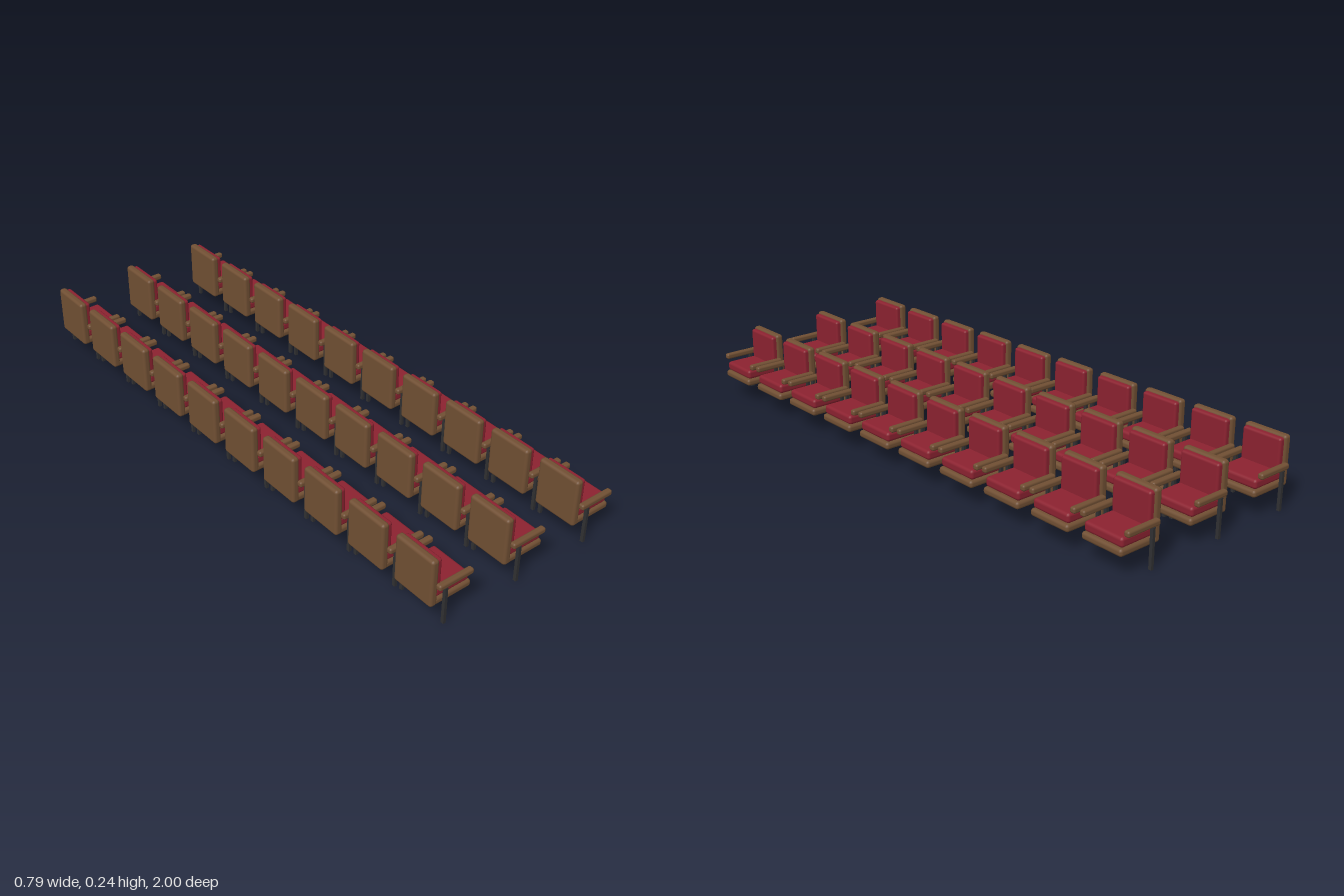
import * as THREE from 'three';
import { RoundedBoxGeometry } from 'three/addons/geometries/RoundedBoxGeometry.js';

const COLUMNS = 3, ROWS = 10;

// Rounded block given by its limits along each axis
function block([x0, x1], [y0, y1], [z0, z1], radius) {
  const g = new RoundedBoxGeometry(x1 - x0, y1 - y0, z1 - z0, 2, radius);
  return g.translate((x0 + x1) / 2, (y0 + y1) / 2, (z0 + z1) / 2);
}

export function createModel() {
  const wood = new THREE.MeshStandardMaterial({ name: 'brown wood', color: 0x704f33 });
  const fabric = new THREE.MeshStandardMaterial({ name: 'red fabric', color: 0x8b2230 });
  const metal = new THREE.MeshStandardMaterial({ name: 'dark metal', color: 0x303032 });

  // One chair: back at x = 0, facing +x
  const parts = [
    ['backFrame', block([0, 0.027], [0.068, 0.236], [-0.079, 0.079], 0.01), wood],
    ['backCushion', block([0.015, 0.043], [0.1, 0.229], [-0.072, 0.072], 0.008), fabric],
    ['seatBase', block([0.008, 0.158], [0.068, 0.093], [-0.078, 0.078], 0.01), wood],
    ['seatCushion', block([0.02, 0.151], [0.093, 0.125], [-0.074, 0.074], 0.01), fabric],
  ];
  for (const [side, s] of [['left', -1], ['right', 1]]) {
    const span = (a, b) => (s > 0 ? [a, b] : [-b, -a]);
    parts.push([side + 'Armrest', block([0.018, 0.149], [0.131, 0.151], span(0.074, 0.095), 0.007), wood]);
    const leg = new THREE.BoxGeometry(0.01, 0.132, 0.011).translate(0.045, 0.066, s * 0.0885);
    parts.push([side + 'Leg', leg, metal]);
  }

  const model = new THREE.Group();
  model.name = 'seatingRows';
  // Three columns, each row stepping slightly forward
  for (let c = 0; c < COLUMNS; c++) {
    for (let r = 0; r < ROWS; r++) {
      const chair = new THREE.Group();
      chair.name = `chair${c + 1}_${r + 1}`;
      for (const [name, geometry, material] of parts) {
        const mesh = new THREE.Mesh(geometry, material);
        mesh.name = name;
        chair.add(mesh);
      }
      chair.position.set(-0.397 + c * 0.2875 + r * 0.0068, 0, -0.905 + r * (1.81 / 9));
      model.add(chair);
    }
  }
  return model;
}
